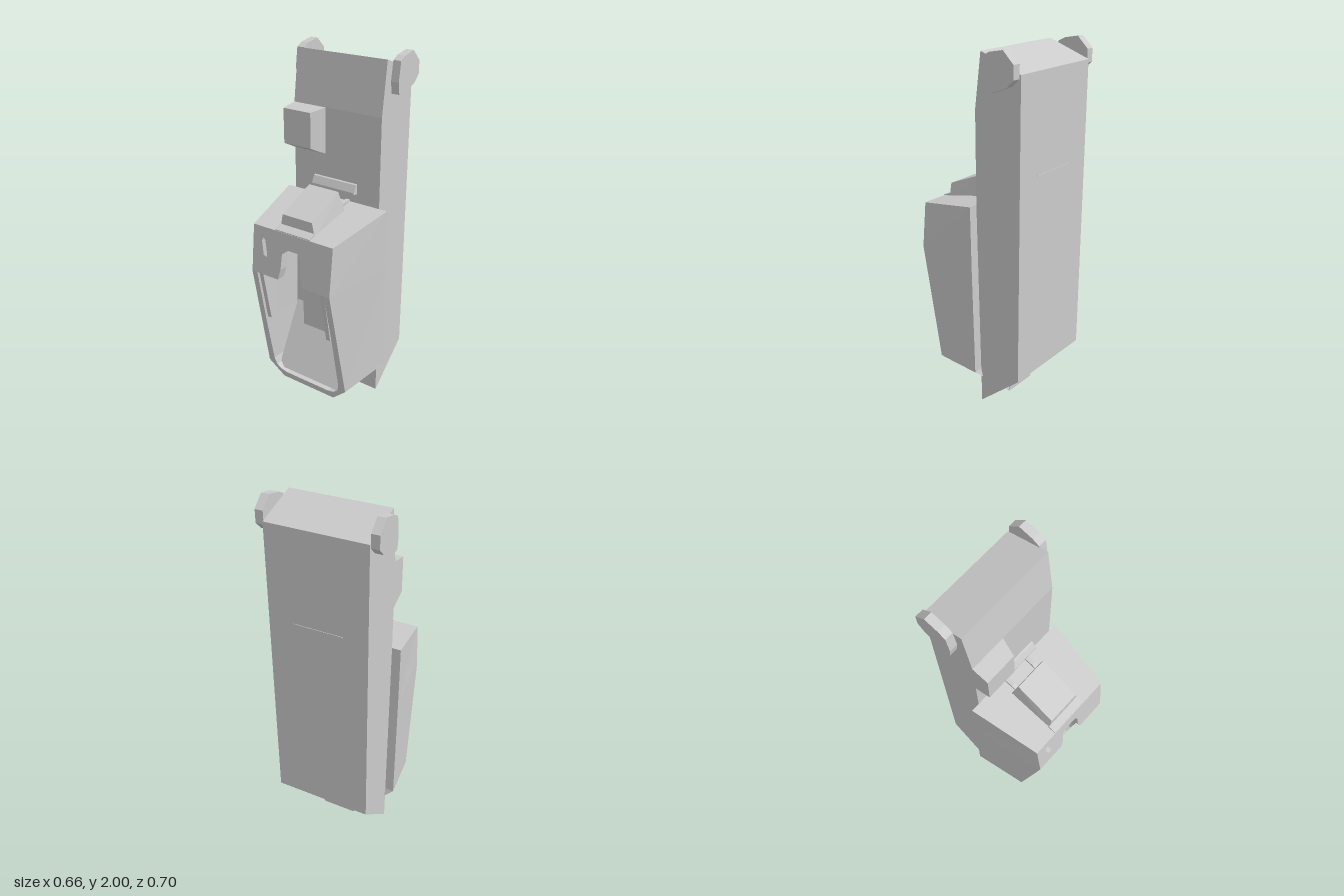
import * as THREE from 'three';
import { ConvexGeometry } from 'three/addons/geometries/ConvexGeometry.js';

const grey = new THREE.MeshStandardMaterial({ color: 0xcccccc, flatShading: true, side: THREE.DoubleSide });

export function createModel() {
  const model = new THREE.Group();
  const add = (name, geo) => {
    const mesh = new THREE.Mesh(geo, grey);
    mesh.name = name;
    model.add(mesh);
    return mesh;
  };
  const toShape = (pts) => new THREE.Shape(pts.map((p) => new THREE.Vector2(...p)));
  const mirror = (pts) => [...pts, ...pts.map(([x, y, z]) => [-x, y, z]).reverse()];

  // profile of [z, y] points drawn out from x0 to x1
  const prism = (name, pts, x0, x1) => {
    const geo = new THREE.ExtrudeGeometry(toShape(pts), { depth: x1 - x0, bevelEnabled: false });
    return add(name, geo.rotateY(-Math.PI / 2).translate(x1, 0, 0));
  };
  const solid = (name, pts) => add(name, new ConvexGeometry(pts.map((p) => new THREE.Vector3(...p))));

  // strip of quads between two equal-length rows of points
  const strip = (name, a, b, closed) => {
    const pos = [];
    for (let i = 0; i < a.length - (closed ? 0 : 1); i++) {
      const j = (i + 1) % a.length;
      pos.push(...a[i], ...b[i], ...b[j], ...a[i], ...b[j], ...a[j]);
    }
    const geo = new THREE.BufferGeometry();
    geo.setAttribute('position', new THREE.Float32BufferAttribute(pos, 3));
    geo.computeVertexNormals();
    return add(name, geo);
  };

  // flat outline bent onto the sloping front surface
  const frontZ = (y) => (y < 0.84 ? 0.35 - 0.197 * (0.84 - y) : 0.35 - 0.111 * (y - 0.84));
  const frontSheet = (name, pts, hole) => {
    const shape = toShape(pts);
    if (hole) shape.holes.push(toShape(hole));
    const geo = new THREE.ShapeGeometry(shape);
    const p = geo.attributes.position;
    for (let i = 0; i < p.count; i++) p.setZ(i, frontZ(p.getY(i)));
    geo.computeVertexNormals();
    return add(name, geo);
  };

  // tall rear column with sloping top and foot
  prism('rearColumn', [[-0.095, 0.015], [-0.07, 1.19], [-0.07, 1.69], [-0.108, 1.975],
    [-0.35, 1.89], [-0.35, 0.24]], -0.28, 0.28);
  prism('rearSlit', [[-0.353, 1.37], [-0.34, 1.37], [-0.34, 1.375], [-0.353, 1.375]], -0.14, 0.137);

  // faceted knobs at the top corners
  const knob = [[-0.145, 1.86], [-0.16, 1.965], [-0.2, 1.985], [-0.28, 2], [-0.342, 1.94],
    [-0.342, 1.87], [-0.3, 1.83], [-0.2, 1.79], [-0.155, 1.797]];
  prism('leftKnob', knob, 0.28, 0.325);
  prism('rightKnob', knob, -0.325, -0.28);

  // tapered box on the column front
  solid('columnBox', [[-0.28, 1.43, -0.075], [-0.07, 1.43, -0.075], [-0.07, 1.69, -0.075], [-0.28, 1.69, -0.075],
    [-0.28, 1.48, 0.025], [-0.1, 1.48, 0.025], [-0.1, 1.675, 0.025], [-0.28, 1.675, 0.025]]);

  // outer shell of the front housing
  const back = mirror([[0.33, 1.195, -0.07], [0.33, 0.85, -0.075], [0.33, 0.22, -0.09], [0.1, 0.005, -0.15]]);
  const front = mirror([[0.26, 1.11], [0.26, 0.84], [0.275, 0.18], [0.18, 0.09]].map(([x, y]) => [x, y, frontZ(y)]));
  strip('housingShell', back, front, true);
  const half = (row) => row.slice(0, 4);
  strip('housingBack', half(back), half(back).map(([x, y, z]) => [-x, y, z]), false);
  // small lip under the foot of the column
  prism('footLip', [[-0.15, 0], [-0.15, 0.06], [-0.08, 0.08], [-0.08, 0.016]], -0.1, 0.1);

  // front rim around the opening, with rounded lower corners
  const inner = [[0.225, 0.84], [0.232, 0.5], [0.232, 0.21], [0.22, 0.165], [0.19, 0.14], [0.15, 0.13]];
  const outer = [[0.26, 0.84], [0.275, 0.18], [0.18, 0.09]];
  frontSheet('openingRim', [...mirror(outer), ...mirror(inner.map(([x, y]) => [-x, y]))]
    .map(([x, y]) => [x, y]));

  // upper front panel with a central slot and a small hole
  const slot = [[0.08, 0.84], [0.065, 0.9], [0.06, 0.99], [0.042, 1.02]];
  frontSheet('upperPanel', [[-0.26, 0.84], ...slot.map(([x, y]) => [-x, y]), ...[...slot].reverse(),
    [0.26, 0.84], [0.26, 1.11], [-0.26, 1.11]],
  [[-0.2, 1.03], [-0.19, 1.05], [-0.178, 1.04], [-0.16, 0.96], [-0.163, 0.945], [-0.185, 0.955]]);
  const slotRow = mirror(slot);
  strip('slotWall', slotRow.map(([x, y]) => [x, y, frontZ(y)]),
    slotRow.map(([x, y]) => [x, y, frontZ(y) - 0.05]), false);

  // cavity walls, back wall and sloping floor
  const cavity = mirror([[0.225, 1.08], ...inner]);
  strip('cavityWalls', cavity.map(([x, y]) => [x, y, frontZ(y)]), cavity.map(([x, y]) => [x, y, 0]), true);
  add('cavityBack', new THREE.ShapeGeometry(toShape(cavity.map(([x, y]) => [x, y]))));
  prism('cavityFloor', [[0, 0.14], [0, 0.51], [0.19, 0.14]], -0.225, 0.225);

  // chamfered block on the cavity back wall
  prism('innerBlock', [[0, 0.4], [0.06, 0.4], [0.06, 0.7], [0, 0.78]], -0.137, 0.135);

  // tapered tabs hanging behind the panel, one on each side
  for (const s of [-1, 1]) {
    const a = s < 0 ? -0.218 : 0.192;
    prism(s < 0 ? 'rightTab' : 'leftTab', [[0.34, 0.835], [0.24, 0.835], [0.24, 0.6], [0.27, 0.53], [0.284, 0.53]],
      a, a + 0.026);
  }

  // wedge on top of the housing, with its front base step
  const wedge = [[0.115, 1.1, 0.275], [0.115, 1.15, 0.015], [0.115, 1.18, 0.015], [0.096, 1.19, 0.275], [0.096, 1.287, 0.045]];
  solid('topWedge', mirror(wedge));
  prism('wedgeStep', [[0.27, 1.1], [0.27, 1.135], [0.318, 1.115], [0.318, 1.1]], -0.115, 0.112);

  // struts and grip bar between wedge and column
  for (const x of [-0.08, 0.08]) {
    prism('strut', [[0.02, 1.16], [0.015, 1.185], [-0.005, 1.2], [-0.075, 1.205], [-0.075, 1.16]], x - 0.012, x + 0.012);
  }
  prism('gripBar', [[-0.075, 1.305], [-0.06, 1.3], [-0.04, 1.26], [-0.04, 1.25], [-0.075, 1.245]], -0.143, 0.137);

  return model;
}
